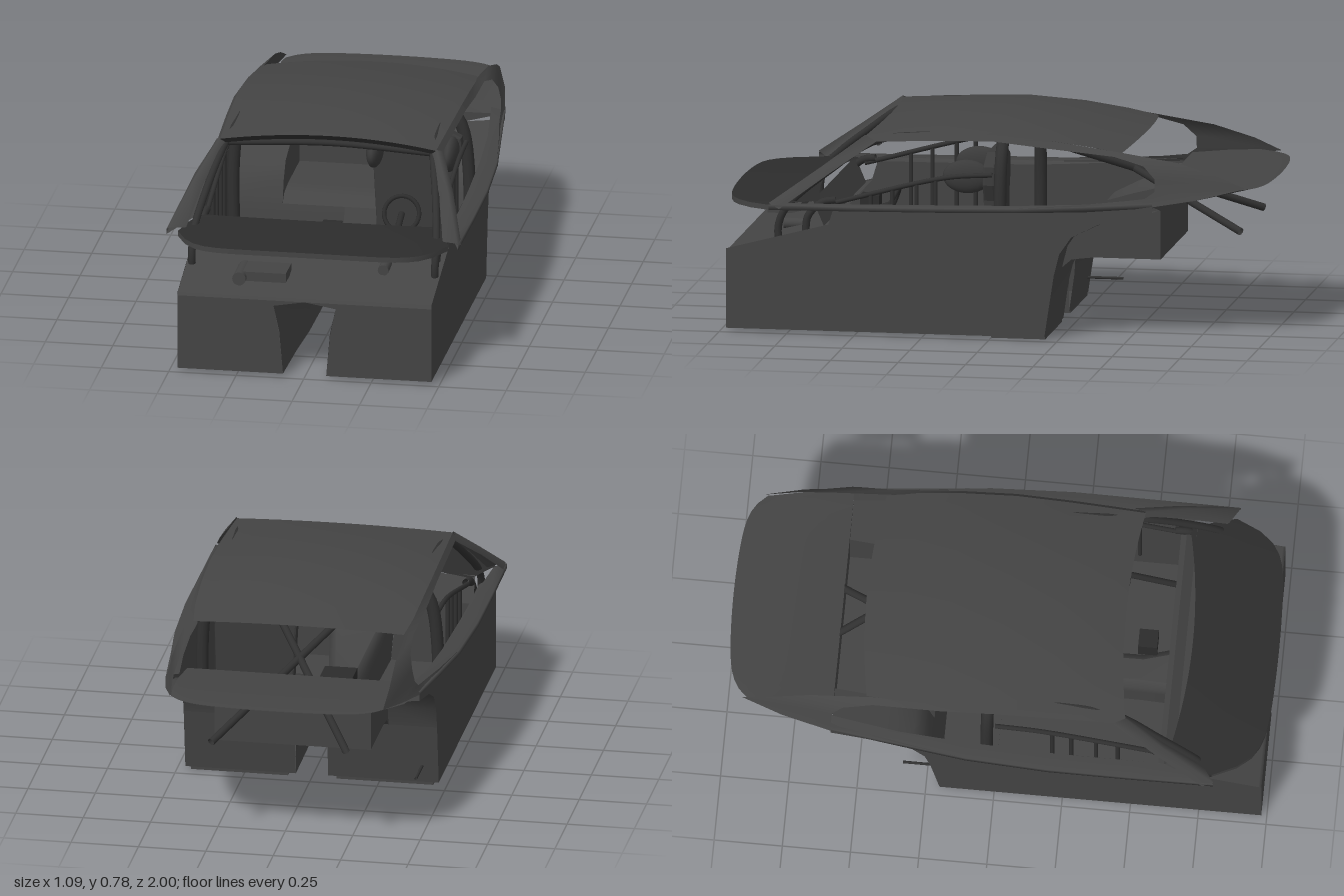
import * as THREE from 'three';
import { RoundedBoxGeometry } from 'three/addons/geometries/RoundedBoxGeometry.js';

const mat = (name, color) => {
  const m = new THREE.MeshStandardMaterial({ color, side: THREE.DoubleSide });
  m.name = name;
  return m;
};
const body = mat('body grey', 0x444444);
const dark = mat('dark trim', 0x2c2c2c);
const cageMat = mat('cage grey', 0x303030);
const seatMat = mat('seat grey', 0x3a3a3a);

export function createModel() {
  const car = new THREE.Group();
  car.name = 'carCabin';

  const add = (name, geo, m, x = 0, y = 0, z = 0) => {
    const mesh = new THREE.Mesh(geo, m);
    mesh.name = name;
    mesh.position.set(x, y, z);
    car.add(mesh);
    return mesh;
  };
  const box = (name, m, w, h, d, x, y, z) => add(name, new THREE.BoxGeometry(w, h, d), m, x, y, z);

  // Surface through rows of [x, y, z] points
  const sheet = (name, rows, m = body) => {
    const n = rows[0].length, index = [];
    for (let i = 0; i < rows.length - 1; i++)
      for (let j = 0; j < n - 1; j++) {
        const a = i * n + j, b = a + n;
        index.push(a, b, a + 1, b, b + 1, a + 1);
      }
    const g = new THREE.BufferGeometry();
    g.setAttribute('position', new THREE.Float32BufferAttribute(rows.flat(2), 3));
    g.setIndex(index);
    g.computeVertexNormals();
    return add(name, g, m);
  };
  const flip = (row, s) => row.map(([x, y, z]) => [x * s, y, z]);
  const mirrored = (name, rows, m) => {
    sheet(name + 'Left', rows, m);
    sheet(name + 'Right', rows.map(r => flip(r, -1)), m);
  };
  // Ribbon following a [z, y] profile between two x values
  const ribbon = (name, profile, x0, x1, m) =>
    sheet(name, [x0, x1].map(x => profile.map(([z, y]) => [x, y, z])), m);
  const tube = (name, pts, r, m = cageMat) => {
    const c = new THREE.CatmullRomCurve3(pts.map(p => new THREE.Vector3(...p)), false, 'centripetal');
    return add(name, new THREE.TubeGeometry(c, pts.length * 6, r, 10), m);
  };
  const across = (half, fn, n = 24) =>
    Array.from({ length: n + 1 }, (_, i) => fn(((i / n) * 2 - 1) * half, (i / n) * 2 - 1));

  // Side panels with the rear arch cut away
  const arch = [[-0.2, 0.01], [-0.235, 0.24], [-0.255, 0.32], [-0.3, 0.385], [-0.4, 0.435], [-0.6, 0.485]];
  const side = new THREE.Shape();
  side.moveTo(0.98, 0.01);
  side.lineTo(0.98, 0.305);
  side.lineTo(0.6, 0.405);
  side.lineTo(0.58, 0.47);
  side.lineTo(0, 0.475);
  side.lineTo(-0.6, 0.51);
  [...arch].reverse().forEach(([z, y]) => side.lineTo(z, y));
  for (const s of [1, -1]) {
    const g = new THREE.ShapeGeometry(side);
    g.rotateY(-Math.PI / 2);
    add(s > 0 ? 'sidePanelLeft' : 'sidePanelRight', g, body, 0.47 * s);
  }

  // Floor pods, tunnel and front bulkhead
  const tunnel = [[0.98, 0.29, 0.115, 0.08], [0.72, 0.23, 0.1, 0.075], [0.5, 0.155, 0.065, 0.065], [-0.2, 0.15, 0.06, 0.06]];
  mirrored('floor', tunnel.map(([z, , , b]) => [[b, 0.01, z], [0.47, 0.01, z]]));
  mirrored('tunnelWall', tunnel.map(([z, y, t, b]) =>
    [[b, 0.01, z], [b + (t - b) * 0.4, y * 0.6, z], [t, y - 0.02, z], [t - 0.025, y, z]]));
  sheet('tunnelRoof', tunnel.map(([z, y, t]) => [[0.025 - t, y, z], [t - 0.025, y, z]]));
  mirrored('frontFace', [
    [[0.08, 0.01, 0.98], [0.47, 0.01, 0.98]],
    [[0.095, 0.17, 0.98], [0.47, 0.17, 0.98]],
    [[0.115, 0.27, 0.98], [0.47, 0.27, 0.98]],
    [[0, 0.29, 0.98], [0.47, 0.29, 0.98]],
  ]);
  ribbon('footwellTop', [[0.98, 0.29], [0.97, 0.305], [0.6, 0.4]], -0.47, 0.47);
  ribbon('firewall', [[0.62, 0.395], [0.66, 0.49]], -0.45, 0.45);
  for (const s of [1, -1]) box('floorRearPad', body, 0.36, 0.012, 0.2, 0.27 * s, 0.006, -0.1);
  tube('sidePipe', [[-0.41, 0.075, -0.18], [-0.41, 0.075, -0.34]], 0.005);

  // Rear bulkhead, boot box and wheel houses
  const boot = [[-0.235, 0.24], [-0.27, 0.27], [-0.35, 0.28], [-0.6, 0.28]];
  const bw = 0.29;
  mirrored('rearBulkhead', [[[0.06, 0.01, -0.2], [0.47, 0.01, -0.2]],
    [[0.06, 0.15, -0.22], [0.47, 0.15, -0.22]], [[0, 0.24, -0.235], [0.47, 0.24, -0.235]]]);
  sheet('tunnelEnd', [[[-0.06, 0.15, -0.2], [0.06, 0.15, -0.2]], [[-0.06, 0.24, -0.235], [0.06, 0.24, -0.235]]]);
  ribbon('bootFloor', boot, -bw, bw);
  sheet('bootBack', [[[-bw, 0.28, -0.6], [bw, 0.28, -0.6]], [[-bw, 0.46, -0.6], [bw, 0.46, -0.6]],
    [[-0.46, 0.505, -0.6], [0.46, 0.505, -0.6]]]);
  const houseTop = arch.slice(1).map(([z, y]) => [bw, z < -0.3 ? y - 0.02 : y, z]);
  mirrored('wheelHouseWall', [houseTop,
    [[-0.235, 0.24], [-0.27, 0.27], [-0.35, 0.28], [-0.45, 0.28], [-0.6, 0.28]].map(([z, y]) => [bw, y, z])]);
  mirrored('wheelHouseRoof', [houseTop, arch.slice(1).map(([z, y]) => [0.47, y, z])]);

  // Roof skin: [z, centre height, half width, edge drop]
  const roof = [[0.44, 0.748, 0.4, 0.022], [0.34, 0.763, 0.405, 0.03], [0.2, 0.774, 0.41, 0.034], [0, 0.78, 0.415, 0.035],
    [-0.2, 0.762, 0.412, 0.03], [-0.36, 0.738, 0.405, 0.028], [-0.51, 0.712, 0.39, 0.022]];
  sheet('roof', roof.map(([z, y, w, d], i) => across(w, (x, u) =>
    [x, y - d * u * u, z + (i === 0 || i === 6 ? 0.035 : 0) * u * u])));
  mirrored('roofRail', roof.slice(0, 4).map(([z, y, w, d], i) =>
    [[w, y - d, z + (i ? 0 : 0.035)], [w + 0.015, y - d - 0.02, z + (i ? 0 : 0.03)]]));
  sheet('windscreenHeader', [across(0.4, (x, u) => [x, 0.748 - 0.022 * u * u, 0.44 + 0.035 * u * u]),
    across(0.385, (x, u) => [x, 0.728 - 0.02 * u * u, 0.425 + 0.035 * u * u])], dark);

  // Windscreen pillars
  mirrored('windscreenPillar', [
    [[0.375, 0.71, 0.45], [0.403, 0.73, 0.475], [0.42, 0.71, 0.43]],
    [[0.435, 0.605, 0.61], [0.47, 0.62, 0.625], [0.485, 0.6, 0.59]],
    [[0.475, 0.48, 0.77], [0.535, 0.49, 0.81], [0.545, 0.47, 0.77]],
  ]);

  // Waist ledge between side panels and the flared upper body
  mirrored('waistLedge', [
    [[0.47, 0.47, 0.62], [0.54, 0.465, 0.81], [0.54, 0.485, 0.81], [0.5, 0.485, 0.77]],
    [[0.47, 0.47, 0.5], [0.544, 0.47, 0.5], [0.542, 0.485, 0.5], [0.48, 0.485, 0.5]],
    [[0.47, 0.47, 0.2], [0.545, 0.475, 0.2], [0.542, 0.49, 0.2], [0.475, 0.49, 0.2]],
    [[0.47, 0.47, -0.1], [0.53, 0.48, -0.1], [0.527, 0.495, -0.1], [0.465, 0.495, -0.1]],
    [[0.47, 0.48, -0.35], [0.5, 0.49, -0.35], [0.498, 0.505, -0.35], [0.45, 0.505, -0.35]],
    [[0.46, 0.5, -0.6], [0.472, 0.51, -0.6], [0.47, 0.52, -0.6], [0.42, 0.53, -0.6]],
  ]);

  // Rear quarters around the rear side windows: outer edge, window edge
  mirrored('rearQuarter', [
    [[0.415, 0.745, 0.0], [0.43, 0.725, 0.0]],
    [[0.412, 0.732, -0.2], [0.43, 0.705, -0.2]],
    [[0.395, 0.695, -0.45], [0.42, 0.68, -0.45]],
    [[0.395, 0.66, -0.68], [0.43, 0.65, -0.56]],
    [[0.4, 0.615, -0.83], [0.445, 0.605, -0.605]],
    [[0.395, 0.572, -0.93], [0.455, 0.56, -0.605]],
    [[0.44, 0.545, -0.78], [0.462, 0.535, -0.57]],
    [[0.472, 0.51, -0.6], [0.472, 0.522, -0.47]],
    [[0.5, 0.49, -0.35], [0.495, 0.51, -0.33]],
    [[0.53, 0.48, -0.1], [0.527, 0.495, -0.1]],
  ]);

  // Rear deck, its rounded tail and underside
  const tail = u => -1 + 0.03 * u * u + 0.06 * u ** 8;
  const deckRow = (t, w, y) => across(w, (x, u) => [x, y, -0.6 + (tail(u) + 0.6) * t]);
  sheet('rearDeck', [deckRow(0, 0.39, 0.555), deckRow(0.4, 0.4, 0.566), deckRow(0.8, 0.4, 0.573), deckRow(1, 0.395, 0.567)]);
  sheet('deckUnderside', [deckRow(0, 0.46, 0.505), deckRow(0.5, 0.44, 0.53), deckRow(1, 0.395, 0.565)]);

  // Scuttle panel with a front lip
  const front = u => 1 - 0.03 * u * u - 0.17 * u ** 8;
  const lip = y => across(0.5, (x, u) => [x, y - 0.012 * u * u, front(u)]);
  sheet('scuttle', [across(0.44, (x, u) => [x, 0.502 - 0.015 * u * u, 0.685 - 0.05 * u * u]),
    across(0.48, (x, u) => [x, 0.497 - 0.013 * u * u, (front(u) + 0.66) / 2]), lip(0.487)], dark);
  sheet('scuttleLip', [lip(0.487), lip(0.468)]);

  // Roll cage
  for (const s of [1, -1]) {
    const bar = (name, pts, r) => tube(name, flip(pts, s), r);
    bar('frontCageLeg', [[0.45, 0.27, 0.77], [0.45, 0.38, 0.79], [0.45, 0.46, 0.76], [0.42, 0.6, 0.6], [0.385, 0.705, 0.44], [0.37, 0.73, 0.25], [0.37, 0.73, -0.04]], 0.014);
    bar('innerCageLeg', [[0.44, 0.37, 0.69], [0.44, 0.43, 0.68], [0.435, 0.48, 0.63], [0.43, 0.49, 0.58]], 0.014);
    bar('mainHoopLeg', [[0.43, 0.02, -0.03], [0.435, 0.48, -0.03], [0.41, 0.65, -0.03], [0.36, 0.73, -0.03]], 0.023);
    bar('rearStay', [[0.23, 0.73, -0.05], [-0.25, 0.385, -0.89]], 0.014);
    bar('doorBar', [[0.43, 0.47, 0.62], [0.43, 0.585, 0.17], [0.43, 0.6, 0]], 0.009);
    for (const z of [0.45, 0.37, 0.28, 0.21])
      bar('doorUpright', [[0.43, 0.2, z], [0.43, 0.63 - z * 0.25, z]], 0.008);
  }
  tube('mainHoopTop', [[-0.37, 0.728, -0.03], [0.37, 0.728, -0.03]], 0.018);
  tube('frontCageCross', [[-0.385, 0.7, 0.43], [0, 0.715, 0.42], [0.385, 0.7, 0.43]], 0.012);

  // Driver seat
  const back = new THREE.Shape([[0.12, 0.12], [0.1, 0.5], [0.08, 0.56], [0.085, 0.62], [0.17, 0.66], [0.33, 0.66],
    [0.41, 0.62], [0.415, 0.56], [0.39, 0.5], [0.38, 0.12]].map(p => new THREE.Vector2(...p)));
  add('seatBack', new THREE.ExtrudeGeometry(back, { depth: 0.03, bevelSize: 0.008, bevelThickness: 0.008, bevelSegments: 2 }), seatMat);
  for (const x of [0.11, 0.39])
    add('headSupport', new THREE.SphereGeometry(1, 20, 14), seatMat, x, 0.585, 0.1).scale.set(0.03, 0.062, 0.09);
  add('seatCushion', new RoundedBoxGeometry(0.28, 0.1, 0.36, 3, 0.03), seatMat, 0.25, 0.13, 0.2);

  // Controls and fittings
  box('controlBox', dark, 0.07, 0.08, 0.07, 0.02, 0.4, 0.52);
  box('centreConsole', dark, 0.12, 0.04, 0.4, 0, 0.18, 0.2);
  add('steeringWheel', new THREE.TorusGeometry(0.065, 0.008, 8, 28), dark, 0.26, 0.45, 0.4).rotation.x = -0.4;
  tube('steeringColumn', [[0.26, 0.45, 0.4], [0.26, 0.37, 0.63]], 0.012, dark);
  box('wiperMotor', body, 0.16, 0.035, 0.12, -0.16, 0.357, 0.86);
  add('motorCap', new THREE.CylinderGeometry(0.025, 0.025, 0.14, 20), body, -0.25, 0.352, 0.87).rotation.x = Math.PI / 2;
  add('fluidValve', new THREE.CylinderGeometry(0.02, 0.02, 0.08, 16), body, 0.26, 0.367, 0.76).rotation.x = Math.PI / 2;

  return car;
}
